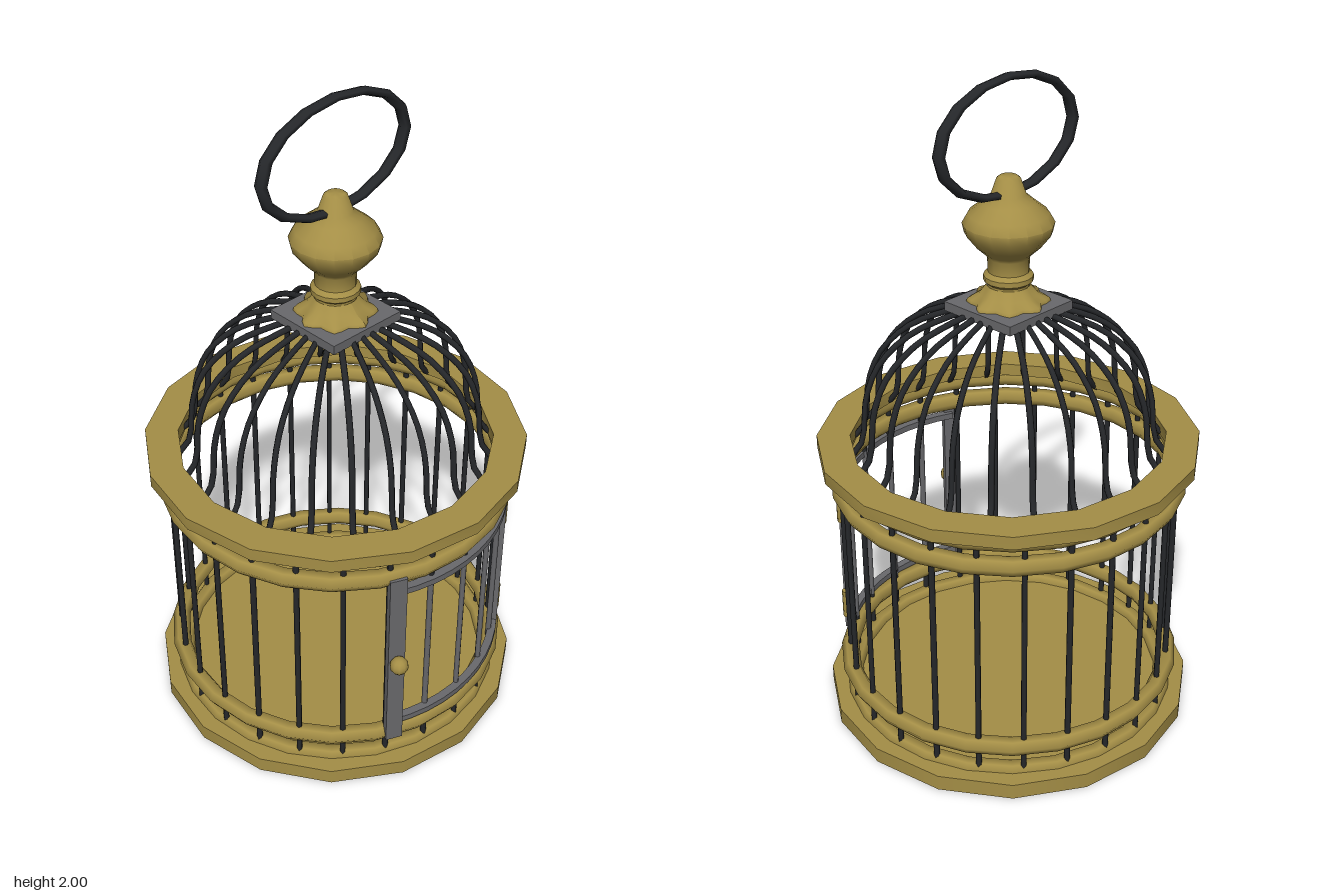
import * as THREE from 'three';
import { toCreasedNormals } from 'three/addons/utils/BufferGeometryUtils.js';

const mat = (name, color) => {
  const m = new THREE.MeshStandardMaterial({ color });
  m.name = name;
  return m;
};
const rad = THREE.MathUtils.degToRad;
const v2 = (pts) => pts.map(([x, y]) => new THREE.Vector2(x, y));

export function createModel() {
  const brass = mat('brass', 0xa48e46);
  const iron = mat('darkIron', 0x26282b);
  const steel = mat('greySteel', 0x69696c);
  const root = new THREE.Group();
  root.name = 'birdcage';

  const add = (name, geo, material, x = 0, y = 0, z = 0) => {
    const m = new THREE.Mesh(geo, material);
    m.name = name;
    m.position.set(x, y, z);
    root.add(m);
    return m;
  };
  // Puts a part on the cage wall, deg measured from the front towards +x
  const onWall = (name, geo, material, deg, r, y) => {
    const a = rad(deg);
    const m = add(name, geo, material, Math.sin(a) * r, y, Math.cos(a) * r);
    m.rotation.y = a;
    return m;
  };
  // Rectangular band turned around the y axis
  const band = (r0, r1, y0, y1, segs, start = 0, length = Math.PI * 2) =>
    toCreasedNormals(new THREE.LatheGeometry(
      v2([[r0, y0], [r1, y0], [r1, y1], [r0, y1], [r0, y0]]), segs, start, length), 0.6);

  // Base and the flat crown ring
  add('base', new THREE.CylinderGeometry(0.575, 0.575, 0.05, 16), brass, 0, 0.025, 0);
  add('crownRing', band(0.475, 0.575, 0.87, 0.91, 16), brass);

  // Round hoops
  for (const [y, r] of [[0.045, 0.5], [0.143, 0.512], [0.775, 0.512], [0.85, 0.505]]) {
    const hoop = add('hoop', new THREE.TorusGeometry(r, 0.028, 6, 24), brass, 0, y, 0);
    hoop.rotation.x = Math.PI / 2;
  }

  // Wall bars, broken where the door sits
  const bar = (y0, y1, deg, material, name) =>
    onWall(name, new THREE.CylinderGeometry(0.009, 0.009, y1 - y0, 6), material, deg, 0.507, (y0 + y1) / 2);
  for (let i = 0; i < 24; i++) {
    const deg = -176.25 + i * 15;
    if (deg > -25 && deg < 40) {
      bar(0.04, 0.18, deg, iron, 'wallBar');
      bar(0.18, 0.73, deg, steel, 'doorBar');
      bar(0.73, 0.87, deg, iron, 'wallBar');
    } else {
      bar(0.04, 0.87, deg, iron, 'wallBar');
    }
  }

  // Dome ribs
  const rib = new THREE.CatmullRomCurve3([
    [0.5, 0.855], [0.465, 0.88], [0.438, 0.92], [0.418, 1.07], [0.375, 1.17],
    [0.285, 1.255], [0.17, 1.305], [0.09, 1.328],
  ].map(([r, y]) => new THREE.Vector3(0, y, r)));
  const ribGeo = new THREE.TubeGeometry(rib, 16, 0.009, 6);
  for (let i = 0; i < 24; i++) {
    add('domeRib', ribGeo, iron).rotation.y = rad(7.5 + i * 15);
  }

  // Door: curved rails, hinge stile, latch post, knob and hinges
  for (const y of [0.18, 0.71]) {
    add('doorRail', band(0.505, 0.53, y, y + 0.02, 10, rad(-24.6), rad(65)), steel);
  }
  onWall('doorStile', new THREE.BoxGeometry(0.026, 0.55, 0.025), steel, 39.5, 0.517, 0.455);
  onWall('latchPost', new THREE.BoxGeometry(0.052, 0.65, 0.024), steel, -24.6, 0.53, 0.455);
  onWall('doorKnob', new THREE.SphereGeometry(0.028, 10, 8), brass, -24.6, 0.562, 0.465);
  for (const y of [0.28, 0.638]) {
    onWall('hinge', new THREE.CylinderGeometry(0.017, 0.017, 0.096, 8), brass, 41.7, 0.517, y);
  }

  // Square cap plate
  add('capPlate', new THREE.BoxGeometry(0.26, 0.028, 0.26), steel, 0, 1.328, 0);

  // Scalloped foot under the finial: alternate spokes are drawn in
  const foot = new THREE.LatheGeometry(
    v2([[0.122, 1.34], [0.118, 1.352], [0.085, 1.368], [0.062, 1.395]]), 32);
  const p = foot.attributes.position;
  for (let i = 0; i < p.count; i++) {
    const x = p.getX(i), z = p.getZ(i), r = Math.hypot(x, z);
    const k = 1 - Math.max(0, r - 0.062) * 3 * (0.5 - 0.5 * Math.cos(8 * Math.atan2(x, z)));
    p.setX(i, x * k);
    p.setZ(i, z * k);
  }
  foot.computeVertexNormals();
  add('finialFoot', foot, brass);

  // Turned finial
  add('finial', toCreasedNormals(new THREE.LatheGeometry(v2([
    [0.06, 1.37], [0.06, 1.4], [0.072, 1.41], [0.072, 1.425], [0.06, 1.437], [0.06, 1.478],
    [0.068, 1.49], [0.095, 1.515], [0.125, 1.553], [0.131, 1.58], [0.115, 1.608],
    [0.075, 1.64], [0.05, 1.662], [0.034, 1.708], [0.025, 1.715], [0, 1.715],
  ]), 16), 0.75), brass);

  // Oval carrying ring
  const ring = add('carryRing', new THREE.TorusGeometry(0.262, 0.018, 6, 16), iron, 0, 1.825, 0);
  ring.scale.y = 0.625;

  return root;
}
